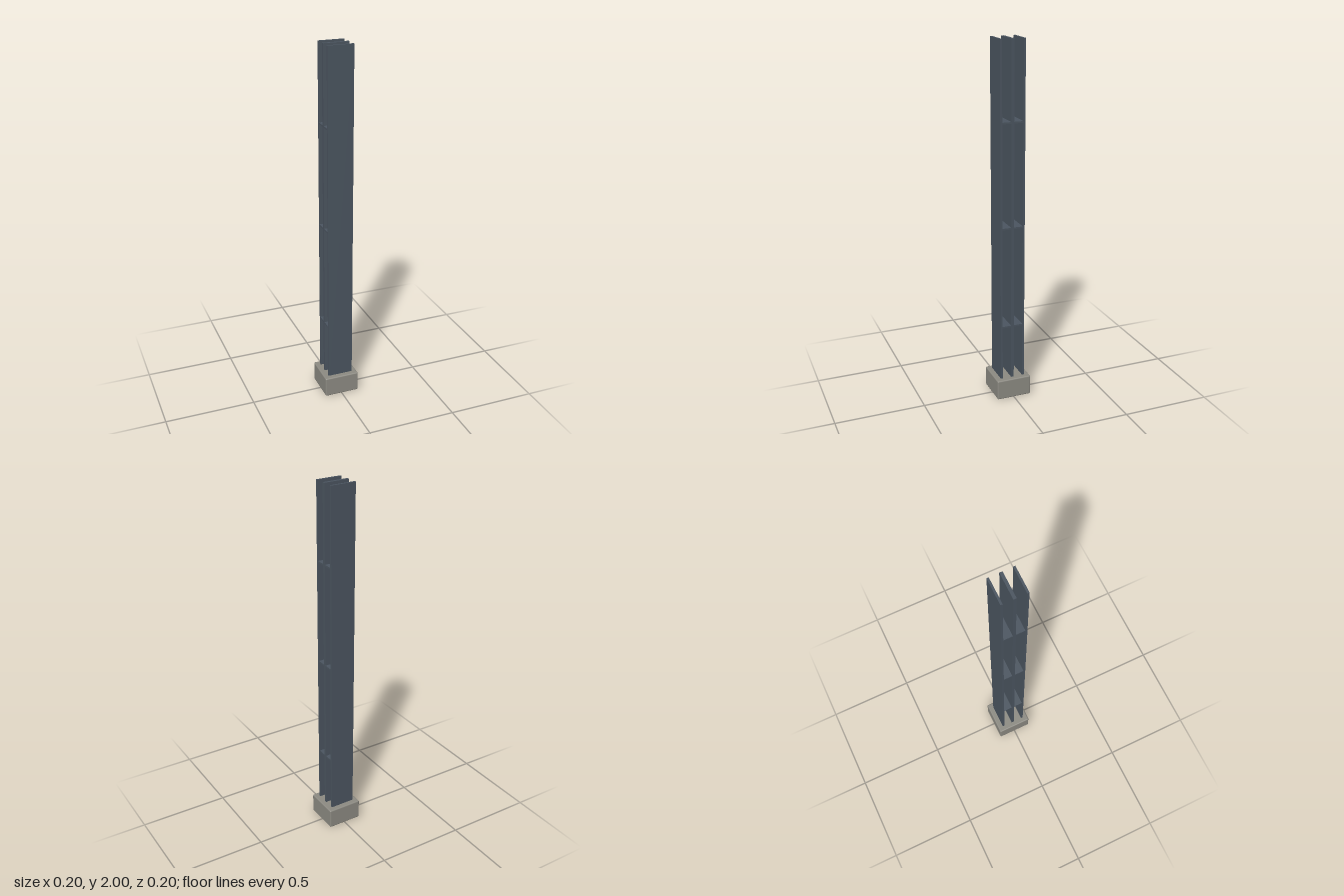
import * as THREE from 'three';
import { RoundedBoxGeometry } from 'three/addons/geometries/RoundedBoxGeometry.js';

export function createModel() {
  const model = new THREE.Group();
  model.name = 'plateColumn';
  const slate = new THREE.MeshStandardMaterial({ color: 0x4b5560 });
  const stone = new THREE.MeshStandardMaterial({ color: 0x8c8a82 });

  const add = (name, geometry, material, y, z = 0) => {
    const mesh = new THREE.Mesh(geometry, material);
    mesh.name = name;
    mesh.position.set(0, y, z);
    model.add(mesh);
  };

  const width = 0.142;
  const baseBottom = 0.002, baseTop = 0.116;

  // Footing block with softened edges
  add('base', new RoundedBoxGeometry(0.198, baseTop - baseBottom, 0.198, 2, 0.007),
    stone, (baseTop + baseBottom) / 2);

  // Three upright plates, running through the footing to the ground
  const outer = 0.011, inner = 0.016, outerZ = 0.064;
  add('frontPlate', new THREE.BoxGeometry(width, 2, outer), slate, 1, outerZ);
  add('middlePlate', new THREE.BoxGeometry(width, 2, inner), slate, 1);
  add('backPlate', new THREE.BoxGeometry(width, 2, outer), slate, 1, -outerZ);

  // Flat spacers filling both gaps at three heights
  const gapStart = inner / 2, gapEnd = outerZ - outer / 2;
  for (const y of [0.43, 1.003, 1.575]) {
    for (const side of [1, -1]) {
      add(side > 0 ? 'frontSpacer' : 'backSpacer',
        new THREE.BoxGeometry(width, 0.009, gapEnd - gapStart),
        slate, y, side * (gapStart + gapEnd) / 2);
    }
  }
  return model;
}
